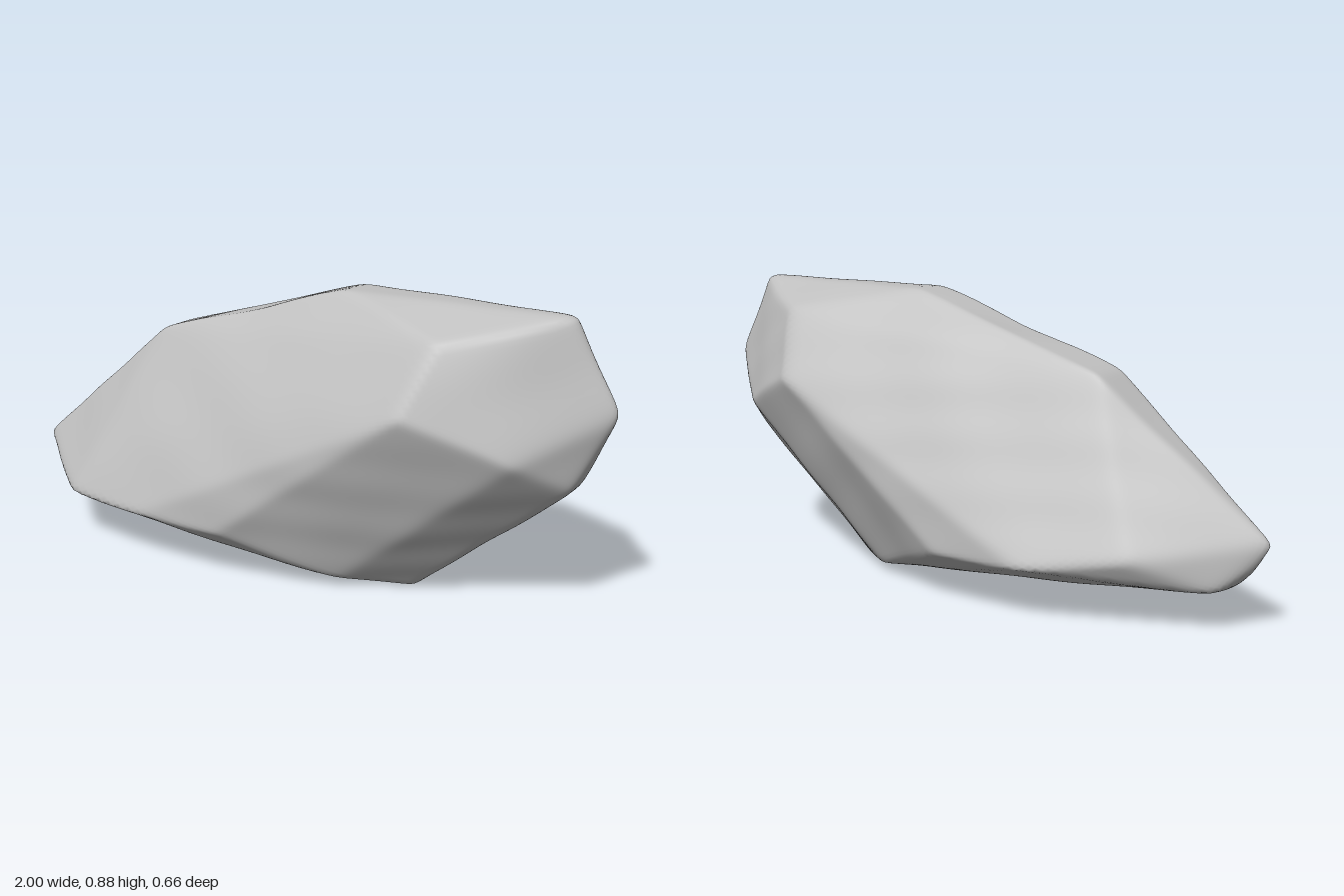
import * as THREE from 'three';
import { mergeVertices } from 'three/addons/utils/BufferGeometryUtils.js';
import { ConvexGeometry } from 'three/addons/geometries/ConvexGeometry.js';

const CENTER = new THREE.Vector3(0.02, 0.42, 0);
const ROUNDING = 110; // higher gives crisper ridges

// Corners on or near the middle of the rock
const MIDDLE = [
  [-1.016, 0.25, 0.035], [-0.975, 0.175, 0.03],
  [0.405, -0.005, 0.04], [0.405, -0.005, -0.04], [0.9, 0.385, 0.05], [0.9, 0.385, -0.04],
  [1.015, 0.62, -0.01], [0.87, 0.872, 0.02], [0.87, 0.872, -0.02],
  [0.18, 0.878, 0.06], [0.18, 0.878, -0.06], [-0.49, 0.68, 0.06], [-0.49, 0.68, -0.07],
];

// Corners repeated on the front and the back
const SIDES = [
  [-0.89, 0.11, 0.07], [-0.4, 0.07, 0.12], [0.22, 0.025, 0.18],
  [-0.42, 0.15, 0.328], [-0.1, 0.15, 0.33], [0.5, 0.6, 0.33],
  [0, 0.61, 0.215], [0.78, 0.48, 0.205], [0.56, 0.8, 0.225], [0.78, 0.835, 0.1],
];

// Corners that differ between front and back
const EXTRA = [
  [-0.72, 0.15, 0.275], [-0.44, 0.39, 0.23],
  [-0.7, 0.2, -0.215], [-0.37, 0.28, -0.285], [0.3, 0.785, -0.125],
];

// Face planes of the hull, each as a normal divided by its distance from CENTER
function hullPlanes() {
  const corners = [...MIDDLE, ...EXTRA];
  for (const [x, y, z] of SIDES) corners.push([x, y, z], [x, y, -z]);
  const points = corners.map((c) => new THREE.Vector3(...c).sub(CENTER));
  const pos = new ConvexGeometry(points).getAttribute('position');
  const planes = [];
  const tri = new THREE.Triangle();
  for (let i = 0; i < pos.count; i += 3) {
    tri.setFromAttributeAndIndices(pos, i, i + 1, i + 2);
    if (tri.getArea() < 1e-5) continue;
    const n = tri.getNormal(new THREE.Vector3());
    n.divideScalar(n.dot(tri.a));
    if (!planes.some((p) => p.distanceTo(n) < 0.03)) planes.push(n);
  }
  return planes;
}

// Gentle weathering
function bumps(p) {
  return 0.003 * Math.sin(9 * p.x + 5 * p.y + 1) * Math.sin(11 * p.z - 7 * p.y)
    + 0.0015 * Math.sin(17 * p.x - 13 * p.y + 6 * p.z)
    + 0.001 * Math.sin(31 * p.y + 23 * p.z + 8 * p.x);
}

function rockGeometry() {
  const planes = hullPlanes();
  let geo = new THREE.IcosahedronGeometry(1, 50);
  geo.deleteAttribute('normal');
  geo.deleteAttribute('uv');
  geo = mergeVertices(geo, 1e-5);

  // Push a fine sphere out to the softly rounded hull
  const pos = geo.getAttribute('position');
  const d = new THREE.Vector3();
  for (let i = 0; i < pos.count; i++) {
    d.fromBufferAttribute(pos, i);
    d.set(d.x, d.y * 0.45, d.z * 0.36).normalize();
    let sum = 0;
    for (const n of planes) sum += Math.max(0, n.dot(d)) ** ROUNDING;
    d.multiplyScalar(sum ** (-1 / ROUNDING));
    d.multiplyScalar(1 + bumps(d) / d.length()).add(CENTER);
    pos.setXYZ(i, d.x, d.y, d.z);
  }
  geo.computeVertexNormals();
  return geo;
}

export function createModel() {
  const stone = new THREE.MeshStandardMaterial({ color: 0xc0c0c0 });
  stone.name = 'grey stone';
  const rock = new THREE.Mesh(rockGeometry(), stone);
  rock.name = 'rock';
  const group = new THREE.Group();
  group.name = 'boulder';
  group.add(rock);
  return group;
}
